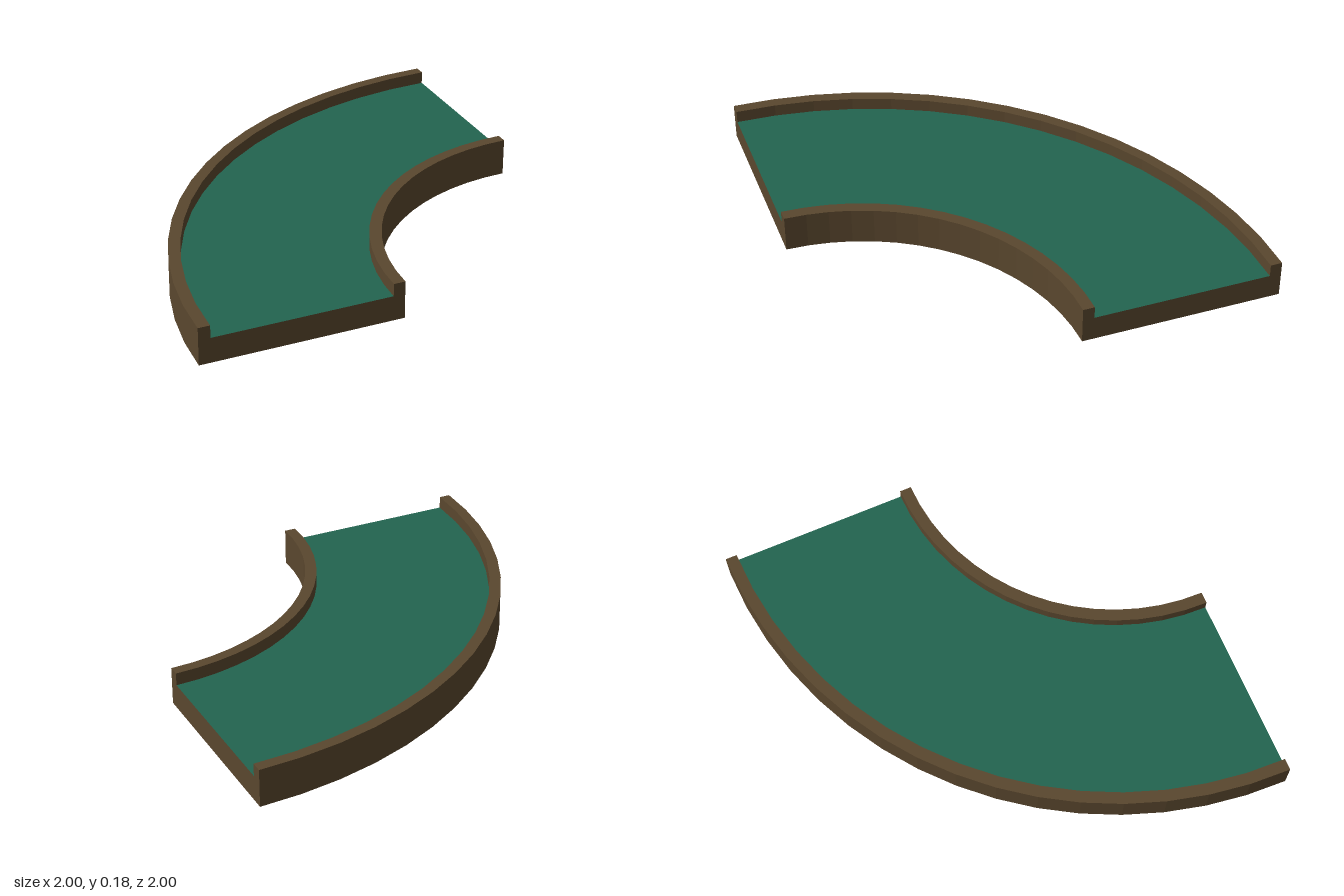
import * as THREE from 'three';

const OUTER = 2, INNER = 1.05, RIM = 0.055, FLOOR = 0.12, TOP = 0.18, SEGMENTS = 16;

// Quarter-turn sweep of an (r, y) profile about the bend centre at x = 1, z = 1
function sweep(name, profile, material) {
  const points = profile.map(([r, y]) => new THREE.Vector2(r, y));
  const mesh = new THREE.Mesh(new THREE.LatheGeometry(points, SEGMENTS, Math.PI, Math.PI / 2), material);
  mesh.name = name;
  mesh.position.set(1, 0, 1);
  return mesh;
}

// Flat end panel with a raised tab at each side where the rims end
function endPanel(name, material) {
  const w = (OUTER - INNER) / 2, i = w - RIM;
  const outline = [[-w, 0], [w, 0], [w, TOP], [i, TOP], [i, FLOOR], [-i, FLOOR], [-i, TOP], [-w, TOP]];
  const shape = new THREE.Shape(outline.map(([x, y]) => new THREE.Vector2(x, y)));
  const mesh = new THREE.Mesh(new THREE.ShapeGeometry(shape), material);
  mesh.name = name;
  return mesh;
}

export function createModel() {
  const model = new THREE.Group();
  model.name = 'curvedTrack';
  const sheet = { side: THREE.DoubleSide, flatShading: true };
  const wood = new THREE.MeshStandardMaterial({ name: 'brown wood', color: 0x5a472e, ...sheet });
  const felt = new THREE.MeshStandardMaterial({ name: 'green felt', color: 0x236450, ...sheet });

  // Hollow rims, open underneath, either side of the playing surface
  model.add(
    sweep('outerRim', [[OUTER, 0], [OUTER, TOP], [OUTER - RIM, TOP], [OUTER - RIM, FLOOR]], wood),
    sweep('innerRim', [[INNER + RIM, FLOOR], [INNER + RIM, TOP], [INNER, TOP], [INNER, 0]], wood),
    sweep('trackSurface', [[OUTER, FLOOR], [INNER, FLOOR]], felt),
  );

  // Panels closing the two ends of the bend
  const middle = 1 - (OUTER + INNER) / 2;
  const front = endPanel('frontEnd', wood);
  front.position.set(middle, 0, 1);
  const left = endPanel('leftEnd', wood);
  left.position.set(1, 0, middle);
  left.rotation.y = Math.PI / 2;
  model.add(front, left);
  return model;
}
